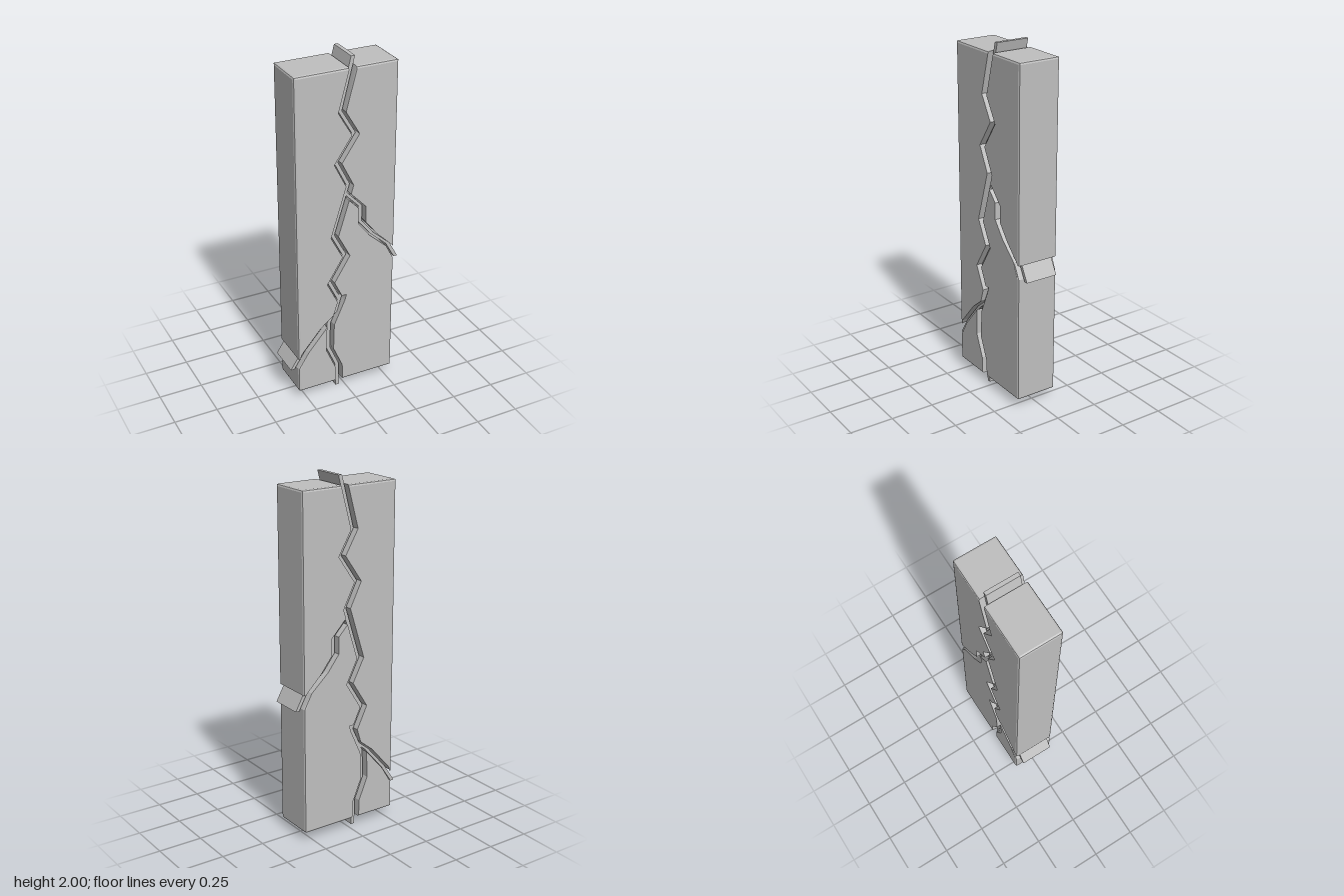
import * as THREE from 'three';

const X = 0.295, Y0 = 0.05, Y1 = 1.95, BEVEL = 0.012;
const SLOT = 0.022, FILL = 0.011;

// Centre lines of the crack and its two branches, from top to bottom
const main = [[0.046, 2], [-0.027, 1.715], [0.052, 1.58], [-0.05, 1.43], [0.02, 1.29], [-0.07, 1.0],
  [0, 0.865], [-0.093, 0.715], [-0.03, 0.585], [-0.095, 0.44], [-0.1, 0.28], [-0.045, 0.15], [-0.042, 0]];
const rightBranch = [[0, 1.245], [0.095, 1.145], [0.095, 1.05], [0.165, 0.96], [0.27, 0.865], [0.322, 0.77]];
const leftBranch = [[-0.02, 0.62], [-0.055, 0.505], [-0.135, 0.44], [-0.255, 0.3], [-0.322, 0.195]];

const shift = (path, d) => path.map(([x, y]) => [x + d, y]);

// Point where the segment from inside a to outside b leaves the block
function exit([ax, ay], [bx, by]) {
  let t = 1;
  if (Math.abs(bx) > X) t = Math.min(t, (Math.sign(bx) * X - ax) / (bx - ax));
  if (by > Y1) t = Math.min(t, (Y1 - ay) / (by - ay));
  if (by < Y0) t = Math.min(t, (Y0 - ay) / (by - ay));
  return [ax + (bx - ax) * t, ay + (by - ay) * t];
}

// One wall of a crack, trimmed to the block
function wall(path, d) {
  const p = shift(path, d), n = p.length - 1;
  const first = exit(p[1], p[0]), last = exit(p[n - 1], p[n]);
  p[0] = first;
  p[n] = last;
  return p;
}

// Chamfered outline corner; sx, sy give its side, flip reverses its direction
function corner(sx, sy, flip) {
  const y = sy > 0 ? Y1 : Y0, c = BEVEL, k = c * 0.3;
  const pts = [[sx * X, y - sy * c], [sx * (X - k), y - sy * k], [sx * (X - c), y]];
  return flip ? pts.reverse() : pts;
}

// Extrude an outline through the given depths
function slab(points, depths) {
  const shape = new THREE.Shape(points.map(([x, y]) => new THREE.Vector2(x, y)));
  const n = depths.length - 1;
  const g = new THREE.ExtrudeGeometry(shape, { depth: n, steps: n, bevelEnabled: false });
  const p = g.attributes.position;
  for (let i = 0; i < p.count; i++) p.setZ(i, depths[Math.round(p.getZ(i))]);
  return g;
}

// Stone piece: only the edges on the outside of the block are rounded
function stonePiece(points) {
  const g = slab(points, [-0.122, -0.1185, -0.11, 0.11, 0.1185, 0.122]);
  const p = g.attributes.position;
  for (let i = 0; i < p.count; i++) {
    const z = Math.abs(p.getZ(i));
    const inset = z > 0.121 ? BEVEL : z > 0.115 ? BEVEL * 0.3 : 0;
    p.setX(i, THREE.MathUtils.clamp(p.getX(i), -X + inset, X - inset));
    p.setY(i, THREE.MathUtils.clamp(p.getY(i), Y0 + inset, Y1 - inset));
  }
  g.computeVertexNormals();
  return g;
}

// Thin recessed sheet that follows a crack
const sheet = (path) => slab([...shift(path, -FILL), ...shift(path, FILL).reverse()], [-0.095, 0.095]);

export function createModel() {
  const group = new THREE.Group();
  const stone = new THREE.MeshStandardMaterial({ color: 0xbfbfbf });
  const add = (name, geometry) => {
    const mesh = new THREE.Mesh(geometry, stone);
    mesh.name = name;
    group.add(mesh);
  };

  const mainL = wall(main, -SLOT), mainR = wall(main, SLOT);
  const rightUpper = wall(rightBranch, SLOT), rightLower = wall(rightBranch, -SLOT);
  const leftUpper = wall(leftBranch, -SLOT), leftLower = wall(leftBranch, SLOT);

  // Four stone pieces around the cracks
  add('upperLeftPiece', stonePiece([
    ...mainL.slice(0, 9), ...leftUpper.slice(1), ...corner(-1, 1, false)]));
  add('lowerLeftPiece', stonePiece([
    [-0.117, 0.436], ...mainL.slice(10), ...corner(-1, -1, true), ...leftLower.slice(3).reverse()]));
  add('upperRightPiece', stonePiece([
    ...mainR.slice(0, 5), [0.027, 1.24], ...rightUpper.slice(1), ...corner(1, 1, false)]));
  add('lowerRightPiece', stonePiece([
    [0.016, 1.205], ...mainR.slice(5, 8), [-0.026, 0.62], [0.002, 0.62], ...mainR.slice(8),
    ...corner(1, -1, true), ...rightLower.slice(1).reverse()]));

  // Sheets inside the cracks, sticking out at the ends
  add('mainCrackSheet', sheet(main));
  add('rightCrackSheet', sheet(rightBranch));
  add('leftCrackSheet', sheet(leftBranch));
  return group;
}
